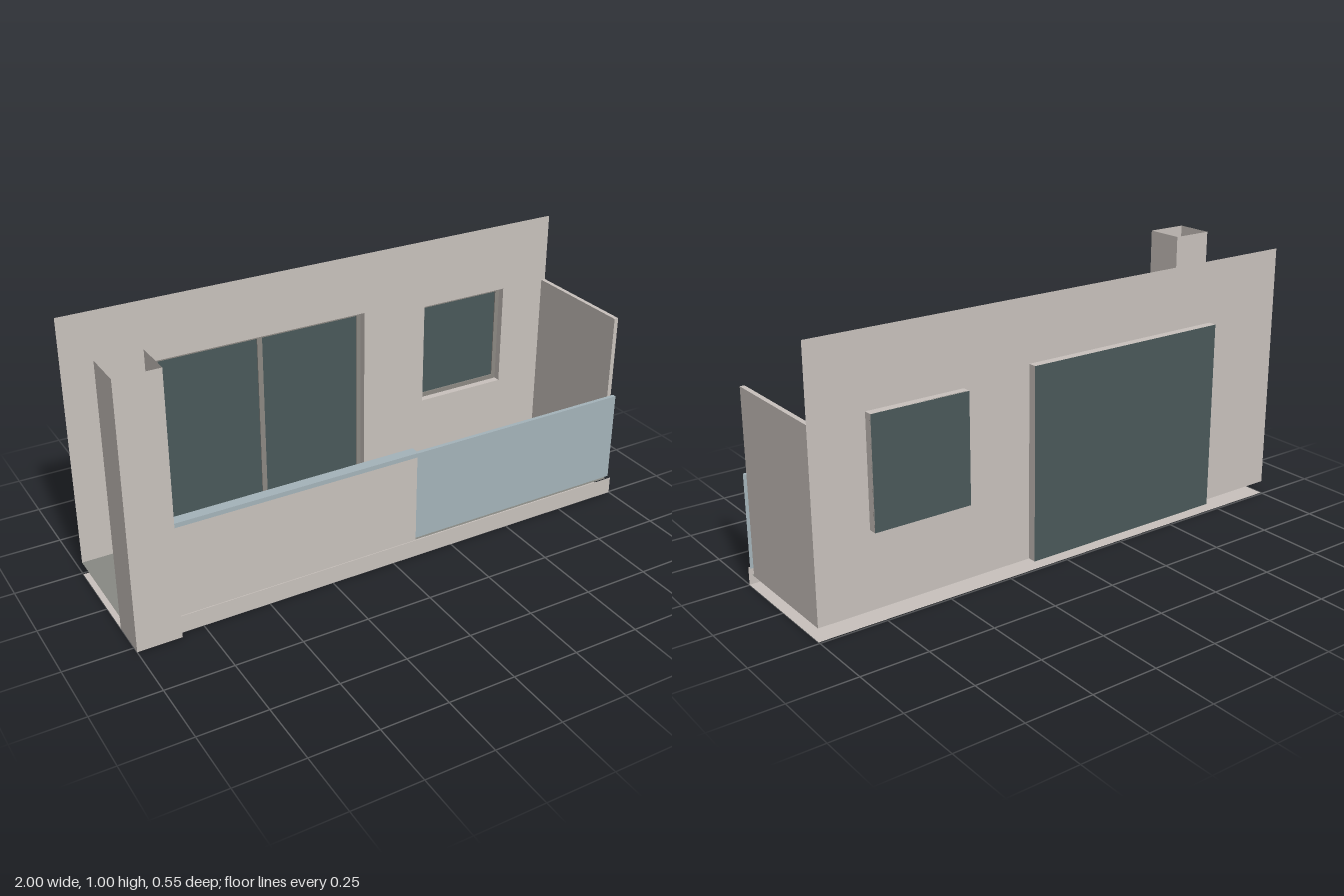
import * as THREE from 'three';

const mat = (name, color) => {
  const m = new THREE.MeshStandardMaterial({ color, side: THREE.DoubleSide });
  m.name = name;
  return m;
};

export function createModel() {
  const model = new THREE.Group();
  model.name = 'balcony';
  const plaster = mat('plaster', 0xc9c2bd);
  const darkGlass = mat('darkGlass', 0x4a595a);
  const frameGrey = mat('frameGrey', 0x8c8883);
  const floorGrey = mat('floorGrey', 0x888a84);
  const paleBlue = mat('paleBlue', 0xa5b4ba);

  const add = (name, geometry, material, parent = model) => {
    const mesh = new THREE.Mesh(geometry, material);
    mesh.name = name;
    parent.add(mesh);
    return mesh;
  };
  // Box given by its limits
  const box = (name, x0, x1, y0, y1, z0, z1, material, parent) =>
    add(name, new THREE.BoxGeometry(x1 - x0, y1 - y0, z1 - z0)
      .translate((x0 + x1) / 2, (y0 + y1) / 2, (z0 + z1) / 2), material, parent);
  // Thin sheets: facing front, lying flat, and facing sideways
  const sheetZ = (name, x0, x1, y0, y1, z, material, parent) =>
    add(name, new THREE.PlaneGeometry(x1 - x0, y1 - y0)
      .translate((x0 + x1) / 2, (y0 + y1) / 2, z), material, parent);
  const sheetY = (name, x0, x1, z0, z1, y, material, parent) =>
    add(name, new THREE.PlaneGeometry(x1 - x0, z1 - z0).rotateX(-Math.PI / 2)
      .translate((x0 + x1) / 2, y, (z0 + z1) / 2), material, parent);
  const sheetX = (name, z0, z1, y0, y1, x, material, parent) =>
    add(name, new THREE.PlaneGeometry(z1 - z0, y1 - y0).rotateY(Math.PI / 2)
      .translate(x, (y0 + y1) / 2, (z0 + z1) / 2), material, parent);
  const rect = (path, x0, x1, y0, y1) =>
    path.moveTo(x0, y0).lineTo(x1, y0).lineTo(x1, y1).lineTo(x0, y1).closePath();

  const wallZ = -0.242, backZ = -0.274, floorY = 0.05, curbZ = 0.253;
  const openings = [
    { name: 'slidingDoor', x0: -0.665, x1: 0.165, y0: floorY, y1: 0.767, mullion: -0.255 },
    { name: 'window', x0: 0.43, x1: 0.797, y0: 0.335, y1: 0.735 },
  ];

  // Back wall with a door opening reaching the floor and a window hole
  const [d, w] = openings;
  const wall = new THREE.Shape();
  wall.moveTo(-1, floorY).lineTo(d.x0, floorY).lineTo(d.x0, d.y1).lineTo(d.x1, d.y1)
    .lineTo(d.x1, floorY).lineTo(1, floorY).lineTo(1, 1).lineTo(-1, 1).closePath();
  const hole = new THREE.Path();
  rect(hole, w.x0, w.x1, w.y0, w.y1);
  wall.holes.push(hole);
  add('backWall', new THREE.ShapeGeometry(wall).translate(0, 0, wallZ), plaster);

  // Recessed door and window: reveals, glass and frame
  for (const o of openings) {
    const g = new THREE.Group();
    g.name = o.name;
    model.add(g);
    for (const x of [o.x0, o.x1]) sheetX('sideReveal', backZ, wallZ, o.y0, o.y1, x, plaster, g);
    sheetY('topReveal', o.x0, o.x1, backZ, wallZ, o.y1, plaster, g);
    if (!o.mullion) sheetY('sill', o.x0, o.x1, backZ, wallZ, o.y0, plaster, g);
    sheetZ('glass', o.x0, o.x1, o.y0, o.y1, backZ, darkGlass, g);
    const t = 0.018, z0 = backZ + 0.001, z1 = backZ + 0.005;
    box('frameSide', o.x0, o.x0 + t, o.y0, o.y1, z0, z1, frameGrey, g);
    box('frameSide', o.x1 - t, o.x1, o.y0, o.y1, z0, z1, frameGrey, g);
    box('frameTop', o.x0 + t, o.x1 - t, o.y1 - t, o.y1, z0, z1, frameGrey, g);
    box('frameBottom', o.x0 + t, o.x1 - t, o.y0, o.y0 + t, z0, z1, frameGrey, g);
    if (o.mullion) box('mullion', o.mullion - 0.01, o.mullion + 0.01, o.y0 + t, o.y1 - t, z0, z1, frameGrey, g);
  }

  // Floor, soffit below it and front curb
  sheetY('floor', -1, 1, wallZ, 0.226, floorY, floorGrey);
  sheetY('soffit', -1, 1, wallZ, curbZ, 0, plaster);
  sheetZ('curb', -1, 1, 0, 0.067, curbZ, plaster);

  // Side partition
  box('sidePartition', 0.983, 1, floorY, 0.735, wallZ, 0.21, plaster);

  // Hollow corner pillar, open at both ends
  const pillar = new THREE.Group();
  pillar.name = 'pillar';
  model.add(pillar);
  for (const z of [0.128, 0.277]) sheetZ('pillarFace', -1, -0.838, 0, 1, z, plaster, pillar);
  for (const x of [-1, -0.838]) sheetX('pillarSide', 0.128, 0.277, 0, 1, x, plaster, pillar);

  // Parapet with a cap, then the glazed railing
  box('parapet', -0.838, 0.096, 0.067, 0.417, 0.223, 0.25, plaster);
  box('parapetCap', -0.838, 0.096, 0.417, 0.434, 0.217, 0.257, paleBlue);
  sheetZ('railingGlass', 0.096, 1, 0.067, 0.42, 0.238, paleBlue);
  sheetY('railingTop', 0.096, 1, 0.223, 0.238, 0.42, paleBlue);

  return model;
}
